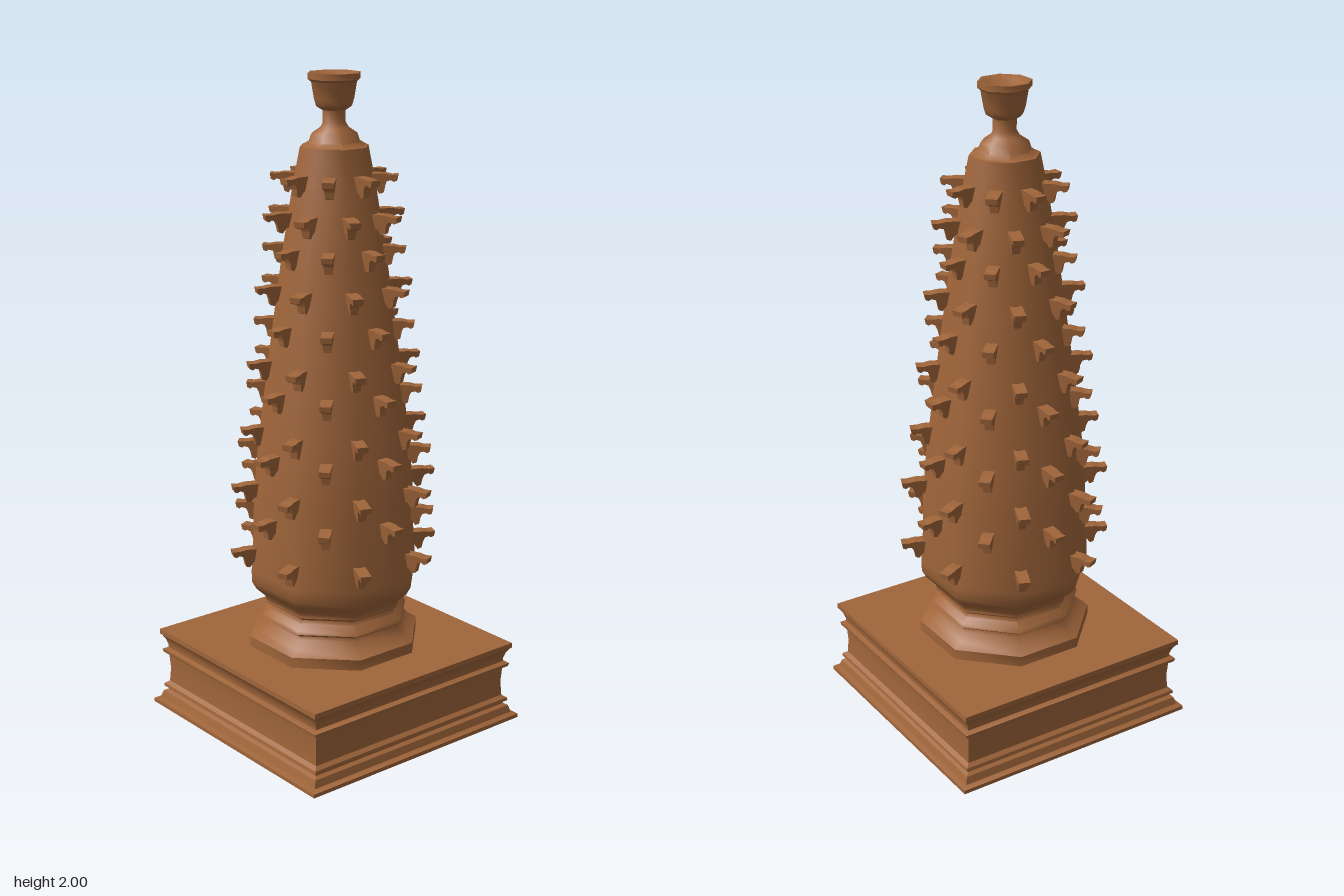
import * as THREE from 'three';
import { toCreasedNormals } from 'three/addons/utils/BufferGeometryUtils.js';

const clay = new THREE.MeshStandardMaterial({ color: 0xa0653a });
clay.name = 'brown clay';

// Lathe with a few flat sides facing the axes; profile gives [half width, height]
function prism(name, sides, profile, crease) {
  const grow = 1 / Math.cos(Math.PI / sides);
  const points = profile.map(([r, y]) => new THREE.Vector2(r * grow, y));
  const geometry = new THREE.LatheGeometry(points, sides, Math.PI / sides);
  const mesh = new THREE.Mesh(toCreasedNormals(geometry, crease), clay);
  mesh.name = name;
  return mesh;
}

// Hooked bracket, tip at x = 0 and top at y = 0, narrowing downwards
function hookGeometry() {
  const outline = [
    [-0.09, 0], [-0.04, 0], [-0.02, -0.004], [0, -0.003], [-0.003, -0.02], [-0.012, -0.024],
    [-0.02, -0.019], [-0.032, -0.022], [-0.038, -0.035], [-0.042, -0.056], [-0.054, -0.06],
    [-0.064, -0.045], [-0.09, -0.035],
  ].map(([x, y]) => new THREE.Vector2(x, y));
  const width = 0.036;
  const geometry = new THREE.ExtrudeGeometry(new THREE.Shape(outline), { depth: width, bevelEnabled: false });
  geometry.translate(0, 0, -width / 2);
  const p = geometry.attributes.position;
  for (let i = 0; i < p.count; i++) p.setZ(i, p.getZ(i) * (1 + p.getY(i) * 7));
  geometry.computeVertexNormals();
  return geometry;
}

export function createModel() {
  const model = new THREE.Group();
  model.name = 'spikedTower';

  // Square moulded base
  model.add(prism('base', 4, [
    [0, 0], [0.41, 0], [0.41, 0.012], [0.395, 0.018], [0.388, 0.04], [0.376, 0.046],
    [0.376, 0.053], [0.387, 0.057], [0.385, 0.066], [0.373, 0.075], [0.37, 0.12], [0.373, 0.165],
    [0.386, 0.174], [0.388, 0.184], [0.374, 0.19], [0.374, 0.2], [0.38, 0.218],
    [0.388, 0.232], [0.393, 0.236], [0.393, 0.252], [0, 0.252],
  ], 0.6));

  // Octagonal foot below the body
  model.add(prism('foot', 8, [
    [0.25, 0.25], [0.25, 0.285], [0.225, 0.302], [0.205, 0.325], [0.202, 0.335], [0.216, 0.345],
    [0.212, 0.355], [0.19, 0.37], [0.187, 0.382], [0.2, 0.392], [0.2, 0.4],
  ], 0.9));

  // Tapering body
  model.add(prism('body', 8, [
    [0.18, 0.395], [0.2, 0.4], [0.205, 0.415], [0.23, 0.44], [0.243, 0.465], [0.244, 0.5], [0.238, 0.6],
    [0.234, 0.75], [0.223, 0.88], [0.202, 1.06], [0.178, 1.25], [0.149, 1.47], [0.117, 1.68],
    [0.096, 1.79], [0.085, 1.793],
  ], 0.9));

  // Neck and dished cup at the top
  model.add(prism('finial', 8, [
    [0.09, 1.792], [0.072, 1.803], [0.065, 1.825], [0.04, 1.843], [0.032, 1.858], [0.032, 1.893],
    [0.05, 1.905], [0.056, 1.925], [0.064, 1.975], [0.073, 1.982], [0.073, 2], [0.064, 2],
    [0.052, 1.988], [0.03, 1.98], [0, 1.978],
  ], 0.9));

  // Rows of eight hooks, every other row turned by half a step: [top height, tip radius]
  const rows = [
    [1.713, 0.187], [1.602, 0.213], [1.502, 0.212], [1.388, 0.24], [1.277, 0.24], [1.163, 0.267],
    [1.08, 0.265], [0.962, 0.289], [0.892, 0.294], [0.785, 0.32], [0.695, 0.304], [0.577, 0.325],
  ];
  const hook = hookGeometry();
  rows.forEach(([y, radius], row) => {
    const ring = new THREE.Group();
    ring.name = `hookRow${row + 1}`;
    for (let i = 0; i < 8; i++) {
      const angle = (i + (row % 2) / 2) * Math.PI / 4;
      const mesh = new THREE.Mesh(hook, clay);
      mesh.name = 'hook';
      mesh.position.set(Math.cos(angle) * radius, y, -Math.sin(angle) * radius);
      mesh.rotation.y = angle;
      ring.add(mesh);
    }
    model.add(ring);
  });

  return model;
}
